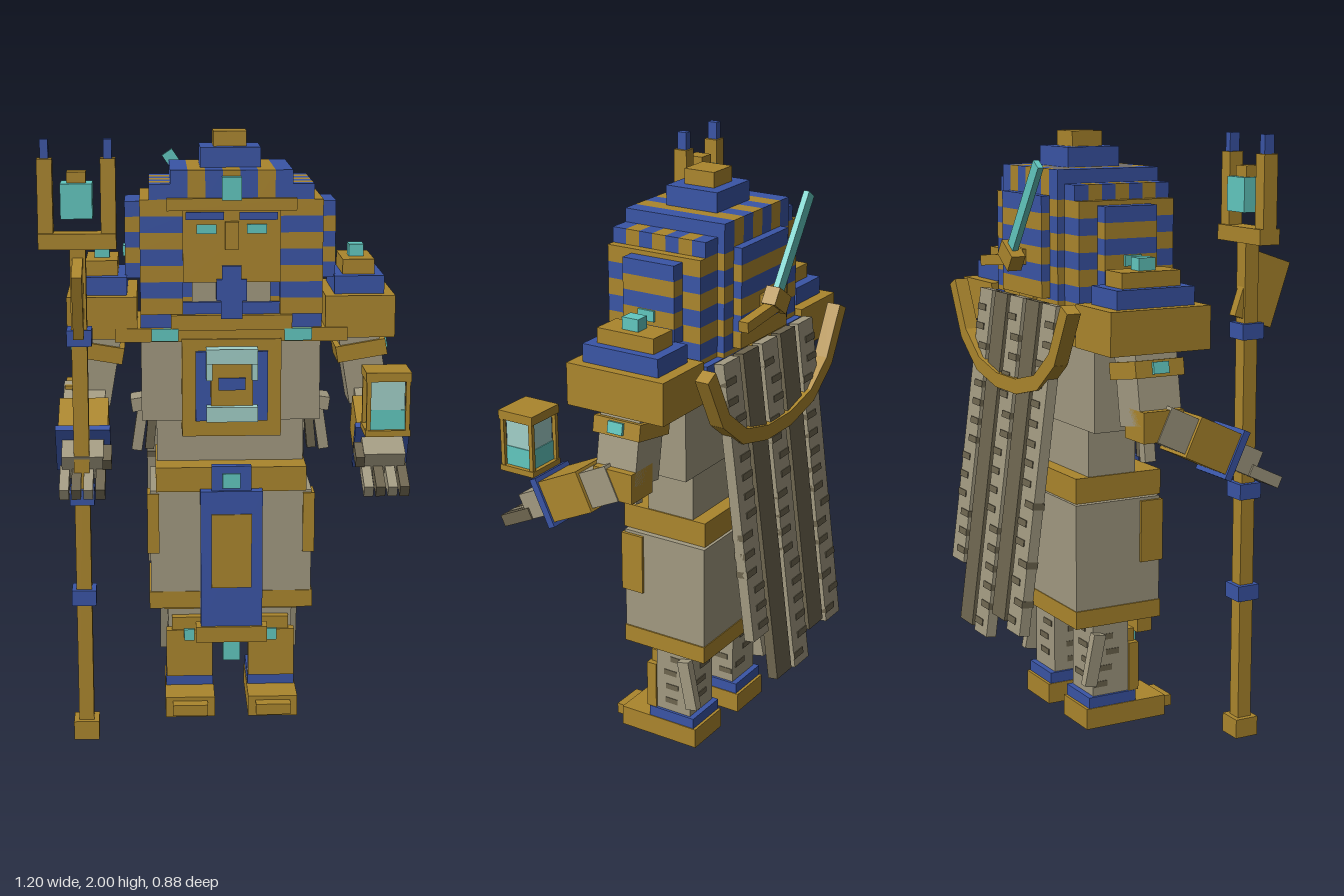
import * as THREE from 'three';

const flat = (name, color) => Object.assign(new THREE.MeshStandardMaterial({ color }), { name });
const gold = flat('gold', 0xab862d), blue = flat('blue', 0x3a55a6), teal = flat('teal', 0x62c8c0);
const glass = flat('pale glass', 0xa2d0c9), cloth = flat('linen', 0xa29a81), dark = flat('dark linen', 0x6d654f);

// Box from its extents on each axis
function box(parent, name, mat, x0, x1, y0, y1, z0, z1) {
  const m = new THREE.Mesh(new THREE.BoxGeometry(Math.abs(x1 - x0), y1 - y0, z1 - z0), mat);
  m.position.set((x0 + x1) / 2, (y0 + y1) / 2, (z0 + z1) / 2);
  m.name = name;
  parent.add(m);
  return m;
}
// Box about x = 0 with half width w
const mid = (p, name, mat, w, ...r) => box(p, name, mat, -w, w, ...r);
// Centred box with size, position and rotation
function tilted(p, name, mat, [w, h, d], pos, rot = [0, 0, 0]) {
  const m = mid(p, name, mat, w / 2, -h / 2, h / 2, -d / 2, d / 2);
  m.position.set(...pos);
  m.rotation.set(...rot);
  return m;
}
function group(parent, name, x = 0, y = 0, z = 0) {
  const g = new THREE.Group();
  g.name = name;
  g.position.set(x, y, z);
  parent.add(g);
  return g;
}
const stripe = i => (i % 2 ? gold : blue);
let seed = 7;
const rand = () => (seed = (seed * 16807) % 2147483647) / 2147483647;

function headdress(body) {
  const g = group(body, 'headdress');
  mid(g, 'crownCap', gold, 0.055, 1.95, 2, -0.11, 0);
  mid(g, 'crownStep', blue, 0.1, 1.885, 1.95, -0.15, 0.04);
  for (let i = 0; i < 7; i++) {
    const x = -0.2 + i * 0.4 / 7;
    box(g, 'topStripe', stripe(i), x, x + 0.4 / 7, 1.79, 1.885, -0.24, 0.13);
  }
  for (let i = 0; i < 8; i++) {
    const y = 1.79 - (i + 1) * 0.054;
    mid(g, 'coreBand', stripe(i + 1), 0.2, y, y + 0.054, -0.24, 0.1);
  }
  // Back panel and banded tail
  for (let i = 0; i < 6; i++) mid(g, 'backBand', stripe(i), 0.145, 1.745 - i * 0.055, 1.8 - i * 0.055, -0.27, -0.24);
  mid(g, 'tail', gold, 0.05, 0.92, 1.47, -0.255, -0.215);
  for (const y of [0.98, 1.08, 1.2, 1.33]) mid(g, 'tailRing', blue, 0.056, y, y + 0.045, -0.262, -0.208);
  for (const s of [-1, 1]) {
    // Stepped side flaps
    for (let i = 0; i < 7; i++) {
      const z = -0.215 + i * 0.345 / 7, y = 1.79 - (i + 1) * 0.054;
      box(g, 'sideTopStripe', stripe(i), s * 0.2, s * 0.27, 1.79, 1.84, z, z + 0.345 / 7);
      box(g, 'sideBand', stripe(i + 1), s * 0.16, s * 0.3, y, y + 0.054, -0.215, 0.13);
    }
    for (let i = 0; i < 5; i++)
      box(g, 'outerBand', stripe(i), s * 0.3, s * 0.35, 1.724 - i * 0.051, 1.775 - i * 0.051, -0.15, 0.04);
    box(g, 'earGem', teal, s * 0.35, s * 0.358, 1.585, 1.62, -0.08, -0.02);
  }
  mid(g, 'headband', gold, 0.212, 1.755, 1.795, -0.02, 0.15);
  mid(g, 'browGem', teal, 0.032, 1.79, 1.865, 0.12, 0.162);
}

function face(body) {
  const g = group(body, 'face');
  mid(g, 'mask', gold, 0.16, 1.52, 1.79, 0.08, 0.138);
  mid(g, 'nose', gold, 0.022, 1.63, 1.72, 0.13, 0.16);
  for (const s of [-1, 1]) {
    box(g, 'eyebrow', blue, s * 0.025, s * 0.15, 1.725, 1.75, 0.138, 0.145);
    box(g, 'eye', teal, s * 0.05, s * 0.115, 1.68, 1.71, 0.138, 0.144);
  }
  mid(g, 'chinBeard', blue, 0.032, 1.53, 1.575, 0.12, 0.152);
  mid(g, 'beard', blue, 0.05, 1.46, 1.53, 0.1, 0.15);
  mid(g, 'beardTip', blue, 0.035, 1.4, 1.46, 0.1, 0.15);
  mid(g, 'neckWrap', cloth, 0.13, 1.4, 1.52, 0, 0.105);
}

function torso(body) {
  const g = group(body, 'torso');
  mid(g, 'chest', cloth, 0.3, 1.04, 1.34, -0.16, 0.075);
  mid(g, 'waist', cloth, 0.25, 0.87, 1.04, -0.155, 0.02);
  mid(g, 'shoulderCore', blue, 0.3, 1.36, 1.45, -0.24, 0.115);
  mid(g, 'collarBeam', gold, 0.385, 1.32, 1.365, -0.2, 0.13);
  mid(g, 'collarFront', gold, 0.2, 1.36, 1.41, 0.05, 0.14);
  // Breastplate with framed gem panel
  mid(g, 'breastplate', gold, 0.165, 1, 1.33, 0.02, 0.138);
  mid(g, 'breastPanel', blue, 0.12, 1.055, 1.29, 0.13, 0.152);
  mid(g, 'breastGold', gold, 0.07, 1.1, 1.26, 0.14, 0.165);
  mid(g, 'upperGem', glass, 0.085, 1.255, 1.305, 0.14, 0.19);
  mid(g, 'lowerGem', glass, 0.085, 1.06, 1.11, 0.14, 0.19);
  mid(g, 'centreGem', blue, 0.045, 1.165, 1.205, 0.15, 0.175);
  for (const s of [-1, 1]) {
    box(g, 'gemPost', glass, s * 0.065, s * 0.085, 1.2, 1.26, 0.14, 0.185);
    box(g, 'collarGem', teal, s * 0.175, s * 0.265, 1.325, 1.365, 0.13, 0.142);
    // Loose wrap ends
    tilted(g, 'looseWrap', cloth, [0.15, 0.045, 0.1], [s * 0.26, 1.1, 0.01], [0, 0, -s * 0.15]);
    tilted(g, 'hangingWrap', cloth, [0.035, 0.18, 0.04], [s * 0.305, 1.02, 0.03], [0, 0, s * 0.15]);
    tilted(g, 'darkWrap', dark, [0.03, 0.1, 0.05], [s * 0.27, 0.99, 0.045], [0, 0, s * 0.1]);
  }
}

function skirt(body) {
  const g = group(body, 'skirt');
  mid(g, 'belt', gold, 0.255, 0.8, 0.885, -0.205, 0.115);
  mid(g, 'kilt', cloth, 0.275, 0.43, 0.8, -0.215, 0.1);
  mid(g, 'hem', gold, 0.28, 0.38, 0.44, -0.218, 0.102);
  mid(g, 'innerHem', gold, 0.23, 0.365, 0.385, -0.18, 0.07);
  for (const s of [-1, 1]) box(g, 'hipPlate', gold, s * 0.245, s * 0.285, 0.58, 0.79, 0.025, 0.108);
  mid(g, 'apron', blue, 0.105, 0.33, 0.81, 0.11, 0.152);
  mid(g, 'apronTab', blue, 0.067, 0.8, 0.895, 0.11, 0.14);
  mid(g, 'apronTabGem', teal, 0.03, 0.82, 0.87, 0.13, 0.148);
  mid(g, 'apronFrame', gold, 0.068, 0.47, 0.73, 0.15, 0.157);
  mid(g, 'apronHem', gold, 0.122, 0.275, 0.33, 0.105, 0.162);
  mid(g, 'apronGem', teal, 0.03, 0.205, 0.275, 0.12, 0.15);
}

function leg(body, s) {
  const g = group(body, 'leg', s * 0.143);
  mid(g, 'shin', cloth, 0.073, 0.1, 0.38, -0.12, 0.015);
  mid(g, 'shinGuard', gold, 0.08, 0.11, 0.28, 0.015, 0.052);
  mid(g, 'kneeGuard', gold, 0.06, 0.28, 0.325, 0.015, 0.045);
  mid(g, 'kneeGem', teal, 0.018, 0.245, 0.285, 0.05, 0.062);
  mid(g, 'anklet', blue, 0.082, 0.072, 0.11, -0.14, 0.04);
  mid(g, 'foot', gold, 0.085, 0, 0.072, -0.15, 0.155);
  mid(g, 'toe', gold, 0.06, 0.02, 0.058, 0.15, 0.195);
  tilted(g, 'legWrap', cloth, [0.03, 0.18, 0.045], [s * 0.085, 0.245, -0.125], [0.2, 0, 0]);
  // Stained patches
  for (let i = 0; i < 4; i++) {
    const y = 0.14 + i * 0.055, z = -0.115 + rand() * 0.06;
    mid(g, 'stain', dark, 0.075, y, y + 0.02, z, z + 0.05);
    const x = -0.07 + rand() * 0.07;
    box(g, 'backStain', dark, x, x + 0.06, y + 0.02, y + 0.04, -0.123, -0.119);
  }
}

function arm(body, s) {
  const p = group(body, 'pauldron', s * 0.427);
  mid(p, 'shoulderPlate', gold, 0.116, 1.33, 1.47, -0.235, 0.125);
  mid(p, 'shoulderStep', blue, 0.083, 1.47, 1.53, -0.195, 0.085);
  mid(p, 'shoulderCap', gold, 0.053, 1.53, 1.58, -0.16, 0.05);
  mid(p, 'shoulderGem', teal, 0.025, 1.58, 1.62, -0.085, -0.025);
  const u = group(body, 'upperArm', s * 0.45, 1.23, -0.05);
  u.rotation.z = s * 0.17;
  mid(u, 'armWrap', cloth, 0.068, -0.14, 0.14, -0.075, 0.075);
  mid(u, 'armBand', gold, 0.085, 0.01, 0.065, -0.088, 0.088);
  box(u, 'armGem', teal, s * 0.08, s * 0.095, 0.02, 0.058, -0.028, 0.028);
  box(body, 'elbowGuard', gold, s * 0.44, s * 0.558, 1.05, 1.15, -0.125, 0.02);
  // Forearm slopes forward and down
  const f = group(body, 'forearm', s * 0.4925, 1.02, 0.13);
  f.rotation.x = 0.44;
  mid(f, 'elbow', cloth, 0.07, -0.06, 0.06, -0.2, -0.07);
  mid(f, 'bracer', gold, 0.082, -0.07, 0.07, -0.09, 0.075);
  mid(f, 'cuff', blue, 0.09, -0.085, 0.085, 0.075, 0.1);
  mid(f, 'palm', cloth, 0.068, -0.045, 0.045, 0.1, 0.19);
  for (let i = 0; i < 4; i++) {
    const x = -0.074 + i * 0.039;
    box(f, 'finger', i % 2 ? dark : cloth, x, x + 0.031, -0.045, -0.005, 0.17, 0.295);
  }
  box(f, 'thumb', dark, -s * 0.065, -s * 0.095, 0, 0.04, 0.12, 0.2);
}

function cape(body) {
  const g = group(body, 'backWrappings');
  const lengths = [1.08, 1.06, 1.15, 1.14, 0.95];
  lengths.forEach((len, i) => {
    const strip = group(g, 'backStrip', -0.237 + i * 0.118, 1.46, -0.272);
    strip.rotation.x = 0.13;
    mid(strip, 'strip', i % 2 ? dark : cloth, 0.048, -len, 0, -0.018, 0.018);
    if (i % 2) return;
    for (let y = -len + 0.03; y < -0.05; y += 0.065) {
      const x = rand() < 0.5 ? -0.0485 : -0.012;
      box(strip, 'stain', dark, x, x + 0.06, y, y + 0.022, -0.021, 0.021);
    }
  });
  // Gold chain hung between the shoulders
  const pts = [[-0.42, 1.465], [-0.335, 1.3], [-0.22, 1.21], [-0.075, 1.175], [0.075, 1.175], [0.22, 1.21], [0.335, 1.3], [0.42, 1.465]];
  for (let i = 0; i < 7; i++) {
    const [ax, ay] = pts[i], [bx, by] = pts[i + 1];
    tilted(g, 'chainLink', gold, [Math.hypot(bx - ax, by - ay) + 0.01, 0.05, 0.048],
      [(ax + bx) / 2, (ay + by) / 2, -0.31], [0, 0, Math.atan2(by - ay, bx - ax)]);
  }
  // Hair pin behind the head
  tilted(g, 'pinBlade', teal, [0.042, 0.34, 0.02], [-0.11, 1.765, -0.31], [0, 0, 0.6]);
  tilted(g, 'pinGuard', gold, [0.09, 0.06, 0.05], [-0.005, 1.6, -0.31], [0, 0, 0.6]);
  tilted(g, 'pinBar', gold, [0.2, 0.035, 0.035], [0.1, 1.575, -0.31], [0, 0, -0.1]);
  mid(g, 'pinMount', gold, 0.03, 1.57, 1.62, -0.3, -0.24);
}

function staff(root) {
  const g = group(root, 'staff', -0.48, 0, 0.292);
  mid(g, 'pole', gold, 0.025, 0, 1.67, -0.025, 0.025);
  mid(g, 'poleFoot', gold, 0.042, 0, 0.065, -0.042, 0.042);
  for (const y of [0.475, 0.82, 1.347]) mid(g, 'poleRing', blue, 0.04, y, y + 0.052, -0.04, 0.04);
  mid(g, 'crossbar', gold, 0.123, 1.657, 1.707, -0.037, 0.037);
  for (const s of [-1, 1]) {
    box(g, 'prong', gold, s * 0.075, s * 0.123, 1.7, 1.94, -0.025, 0.025);
    box(g, 'prongTip', blue, s * 0.086, s * 0.112, 1.94, 2, -0.018, 0.018);
  }
  mid(g, 'staffGem', teal, 0.05, 1.755, 1.865, -0.05, 0.05);
  mid(g, 'gemCap', gold, 0.03, 1.865, 1.9, -0.03, 0.03);
  tilted(g, 'blade', gold, [0.033, 0.22, 0.145], [0, 1.505, 0.048], [0.33, 0, 0]);
}

function lantern(root) {
  const g = group(root, 'lantern', 0.507, 0, 0.32);
  mid(g, 'lanternBase', gold, 0.073, 1.055, 1.075, -0.067, 0.067);
  mid(g, 'lanternTop', gold, 0.073, 1.235, 1.265, -0.067, 0.067);
  mid(g, 'lanternGlass', glass, 0.055, 1.14, 1.235, -0.05, 0.05);
  mid(g, 'lanternLiquid', teal, 0.058, 1.075, 1.14, -0.053, 0.053);
  for (const sx of [-1, 1]) for (const z of [-0.064, 0.05])
    box(g, 'lanternPost', gold, sx * 0.056, sx * 0.07, 1.07, 1.24, z, z + 0.014);
}

export function createModel() {
  seed = 7;
  const root = new THREE.Group();
  root.name = 'blockyGuardian';
  const body = group(root, 'body', 0.015);
  headdress(body);
  face(body);
  torso(body);
  skirt(body);
  for (const s of [-1, 1]) {
    leg(body, s);
    arm(body, s);
  }
  cape(body);
  staff(root);
  lantern(root);
  return root;
}
